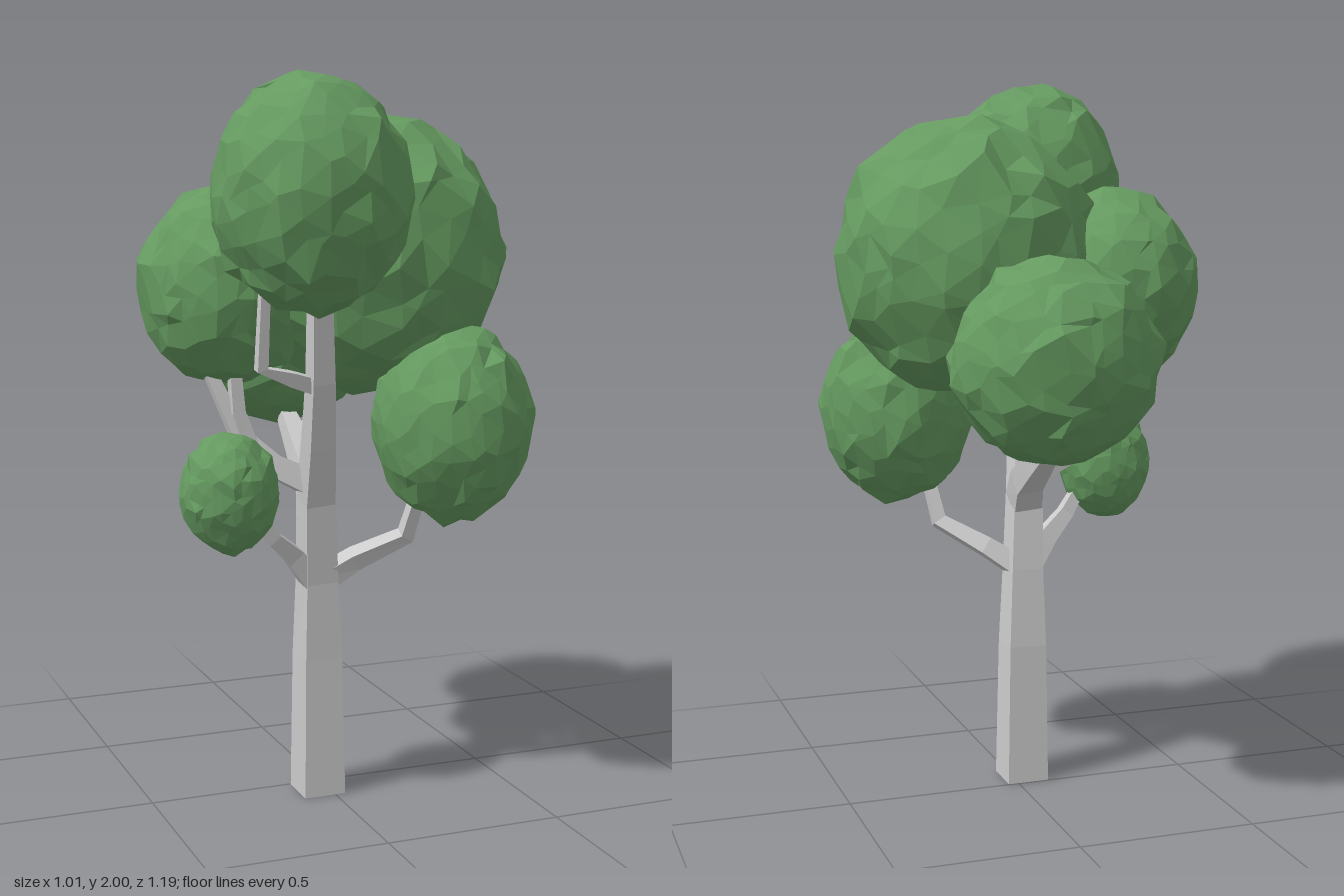
import * as THREE from 'three';
import { mergeVertices } from 'three/addons/utils/BufferGeometryUtils.js';

const bark = new THREE.MeshStandardMaterial({ color: 0xcccccc, flatShading: true });
const leaf = new THREE.MeshStandardMaterial({ color: 0x659a60, flatShading: true });

function seeded(seed) {
  let s = seed;
  return () => (s = (s * 16807) % 2147483647) / 2147483647;
}

// Square-section limb through points [x, y, z, half width]
function limb(name, points) {
  const up = new THREE.Vector3(0, 1, 0);
  const centres = points.map(p => new THREE.Vector3(p[0], p[1], p[2]));
  const corners = [[-1, 1], [1, 1], [1, -1], [-1, -1]];
  const pos = [], index = [];
  const n = points.length;
  centres.forEach((c, i) => {
    const dir = centres[Math.min(i + 1, n - 1)].clone().sub(centres[Math.max(i - 1, 0)]).normalize();
    if (c.y === 0) dir.copy(up);
    const q = new THREE.Quaternion().setFromUnitVectors(up, dir);
    for (const [a, b] of corners) {
      const v = new THREE.Vector3(a * points[i][3], 0, b * points[i][3]).applyQuaternion(q).add(c);
      pos.push(v.x, v.y, v.z);
    }
  });
  for (let i = 0; i < n - 1; i++) {
    for (let k = 0; k < 4; k++) {
      const a = i * 4 + k, b = i * 4 + (k + 1) % 4;
      index.push(a, b, b + 4, a, b + 4, a + 4);
    }
  }
  const t = (n - 1) * 4;
  index.push(0, 2, 1, 0, 3, 2, t, t + 1, t + 2, t, t + 2, t + 3);
  const geo = new THREE.BufferGeometry();
  geo.setAttribute('position', new THREE.Float32BufferAttribute(pos, 3));
  geo.setIndex(index);
  geo.computeVertexNormals();
  const mesh = new THREE.Mesh(geo, bark);
  mesh.name = name;
  return mesh;
}

// Rough faceted ball of leaves with a few spikes
function foliage(name, seed, centre, radii) {
  const rand = seeded(seed);
  const ball = new THREE.IcosahedronGeometry(1, 4);
  ball.deleteAttribute('normal');
  ball.deleteAttribute('uv');
  const geo = mergeVertices(ball, 1e-3);
  const p = geo.attributes.position;
  const v = new THREE.Vector3();
  const jitter = () => (rand() - 0.5) * 0.15;
  for (let i = 0; i < p.count; i++) {
    v.fromBufferAttribute(p, i);
    v.set(v.x + jitter(), v.y + jitter(), v.z + jitter()).normalize();
    const spike = rand() > 0.93 ? 0.05 : 0;
    v.multiplyScalar(0.945 + rand() * 0.065 + spike);
    p.setXYZ(i, v.x, v.y, v.z);
  }
  geo.scale(...radii);
  geo.translate(...centre);
  geo.computeVertexNormals();
  const mesh = new THREE.Mesh(geo, leaf);
  mesh.name = name;
  return mesh;
}

export function createModel() {
  const tree = new THREE.Group();
  tree.name = 'tree';

  // Trunk and branches
  const wood = new THREE.Group();
  wood.name = 'wood';
  wood.add(
    limb('trunk', [
      [-0.03, 0, 0.063, 0.06], [-0.034, 0.4, 0.07, 0.054], [-0.04, 0.62, 0.083, 0.046],
      [-0.054, 0.85, 0.11, 0.042], [-0.075, 1.02, 0.185, 0.036], [-0.095, 1.2, 0.25, 0.031],
      [-0.12, 1.5, 0.31, 0.025],
    ]),
    limb('lowerLeftBranch', [
      [-0.03, 0.62, 0.09, 0.03], [0.06, 0.68, 0.12, 0.025], [0.18, 0.75, 0.19, 0.02], [0.21, 0.92, 0.24, 0.015],
    ]),
    limb('lowerRightBranch', [
      [-0.05, 0.62, 0.09, 0.036], [-0.12, 0.7, 0.11, 0.026], [-0.19, 0.76, 0.14, 0.02], [-0.27, 0.88, 0.16, 0.012],
    ]),
    limb('backBranch', [
      [-0.05, 0.81, 0.1, 0.042], [-0.03, 0.885, 0.02, 0.038], [-0.015, 0.955, -0.12, 0.031], [0, 1.03, -0.27, 0.022],
    ]),
    limb('crownBranch', [
      [-0.04, 0.87, 0.02, 0.026], [-0.02, 1.02, -0.01, 0.023], [0.01, 1.22, -0.05, 0.017],
    ]),
    limb('rightBranch', [
      [-0.05, 0.89, 0.1, 0.036], [-0.17, 0.95, 0.08, 0.03], [-0.26, 1.04, 0.06, 0.022], [-0.35, 1.25, 0.03, 0.014],
    ]),
    limb('rightFork', [
      [-0.23, 1.0, 0.07, 0.022], [-0.265, 1.1, 0.07, 0.018], [-0.28, 1.3, 0.07, 0.014],
    ]),
    limb('upperTwig', [
      [-0.09, 1.18, 0.235, 0.022], [-0.18, 1.21, 0.25, 0.019], [-0.265, 1.24, 0.265, 0.015], [-0.265, 1.5, 0.3, 0.012],
    ]),
  );
  tree.add(wood);

  // Leaf clumps
  const crown = new THREE.Group();
  crown.name = 'crown';
  crown.add(
    foliage('mainFoliage', 11, [0.135, 1.515, 0.05], [0.365, 0.39, 0.365]),
    foliage('topFrontFoliage', 23, [-0.155, 1.69, 0.34], [0.26, 0.31, 0.26]),
    foliage('backFoliage', 37, [0.02, 1.27, -0.36], [0.28, 0.275, 0.24]),
    foliage('leftFoliage', 41, [0.275, 1.075, 0.28], [0.22, 0.275, 0.22]),
    foliage('rightFoliage', 59, [-0.265, 1.435, -0.02], [0.24, 0.275, 0.255]),
    foliage('smallFoliage', 67, [-0.32, 0.9, 0.16], [0.135, 0.165, 0.13]),
  );
  tree.add(crown);
  return tree;
}
